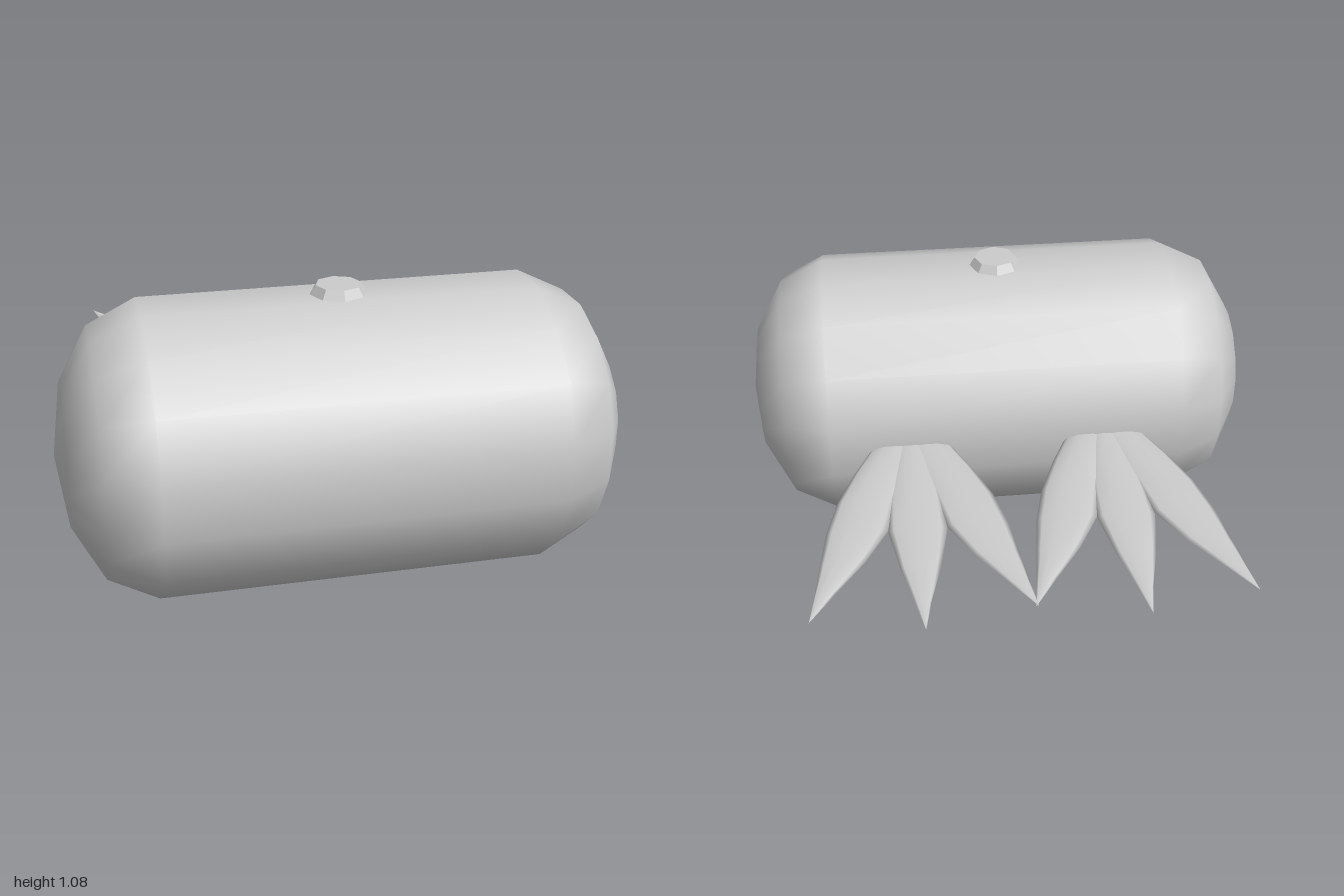
import * as THREE from 'three';

const CENTRE_Y = 0.545, CENTRE_Z = 0.49;

// Lofts a thin pointed feather from rows of [z, minX, maxX, half thickness]
function featherGeometry(rows) {
  const sides = 10, positions = [], index = [];
  for (const [z, minX, maxX, half] of rows) {
    for (let i = 0; i < sides; i++) {
      const a = (i / sides) * Math.PI * 2;
      positions.push(
        (minX + maxX) / 2 + Math.cos(a) * (maxX - minX) / 2,
        Math.sin(a) * half,
        z
      );
    }
  }
  for (let r = 0; r < rows.length - 1; r++) {
    for (let i = 0; i < sides; i++) {
      const j = (i + 1) % sides;
      const a = r * sides + i, b = r * sides + j;
      const c = a + sides, d = b + sides;
      index.push(a, c, b, b, c, d);
    }
  }
  const geometry = new THREE.BufferGeometry();
  geometry.setAttribute('position', new THREE.Float32BufferAttribute(positions, 3));
  geometry.setIndex(index);
  geometry.computeVertexNormals();
  return geometry;
}

export function createModel() {
  const model = new THREE.Group();
  model.name = 'wingedCapsule';
  const grey = new THREE.MeshStandardMaterial({ color: 0xcccccc });
  grey.name = 'light grey';

  const add = (parent, name, geometry) => {
    const mesh = new THREE.Mesh(geometry, grey);
    mesh.name = name;
    parent.add(mesh);
    return mesh;
  };

  // Sixteen-sided capsule lying along x
  const half = [[0, 0.99], [0.25, 0.955], [0.438, 0.85], [0.52, 0.68]];
  const profile = [
    ...half.map(([r, x]) => new THREE.Vector2(r, -x)),
    ...half.slice().reverse().map(([r, x]) => new THREE.Vector2(r, x)),
  ];
  const bodyGeometry = new THREE.LatheGeometry(profile, 16, Math.PI / 16);
  bodyGeometry.rotateZ(-Math.PI / 2);
  add(model, 'body', bodyGeometry).position.set(0, CENTRE_Y, CENTRE_Z);

  // Bevelled octagonal studs above and below
  const studGeometry = new THREE.CylinderGeometry(0.08, 0.105, 0.04, 8).toNonIndexed();
  studGeometry.computeVertexNormals();
  for (const side of [1, -1]) {
    const stud = add(model, side > 0 ? 'topStud' : 'bottomStud', studGeometry);
    stud.position.set(0, CENTRE_Y + side * 0.522, CENTRE_Z);
    if (side < 0) stud.rotation.x = Math.PI;
  }

  // Feather outlines relative to the wing's centre line
  const middleRows = [
    [0.08, -0.06, 0.06, 0.025], [-0.1, -0.08, 0.08, 0.025],
    [-0.35, -0.1, 0.1, 0.022], [-0.5, -0.105, 0.105, 0.02],
    [-0.7, -0.07, 0.07, 0.015], [-0.88, -0.026, 0.026, 0.008], [-1, 0, 0, 0],
  ];
  const outerRows = [
    [0.08, -0.11, 0.03, 0.026], [0, -0.15, 0.02, 0.026],
    [-0.15, -0.22, -0.02, 0.025], [-0.32, -0.285, -0.068, 0.023],
    [-0.49, -0.325, -0.105, 0.02], [-0.65, -0.345, -0.19, 0.016],
    [-0.8, -0.363, -0.293, 0.011], [-0.93, -0.38, -0.38, 0],
  ];
  const mirrorRows = outerRows.map(([z, a, b, h]) => [z, -b, -a, h]);

  // Two wings of three feathers at the back
  for (const side of [1, -1]) {
    const wing = new THREE.Group();
    wing.name = side > 0 ? 'leftWing' : 'rightWing';
    wing.position.set(side * 0.375, CENTRE_Y, 0);
    add(wing, 'middleFeather', featherGeometry(middleRows));
    add(wing, 'featherTowardRight', featherGeometry(outerRows));
    add(wing, 'featherTowardLeft', featherGeometry(mirrorRows));
    model.add(wing);
  }
  return model;
}
